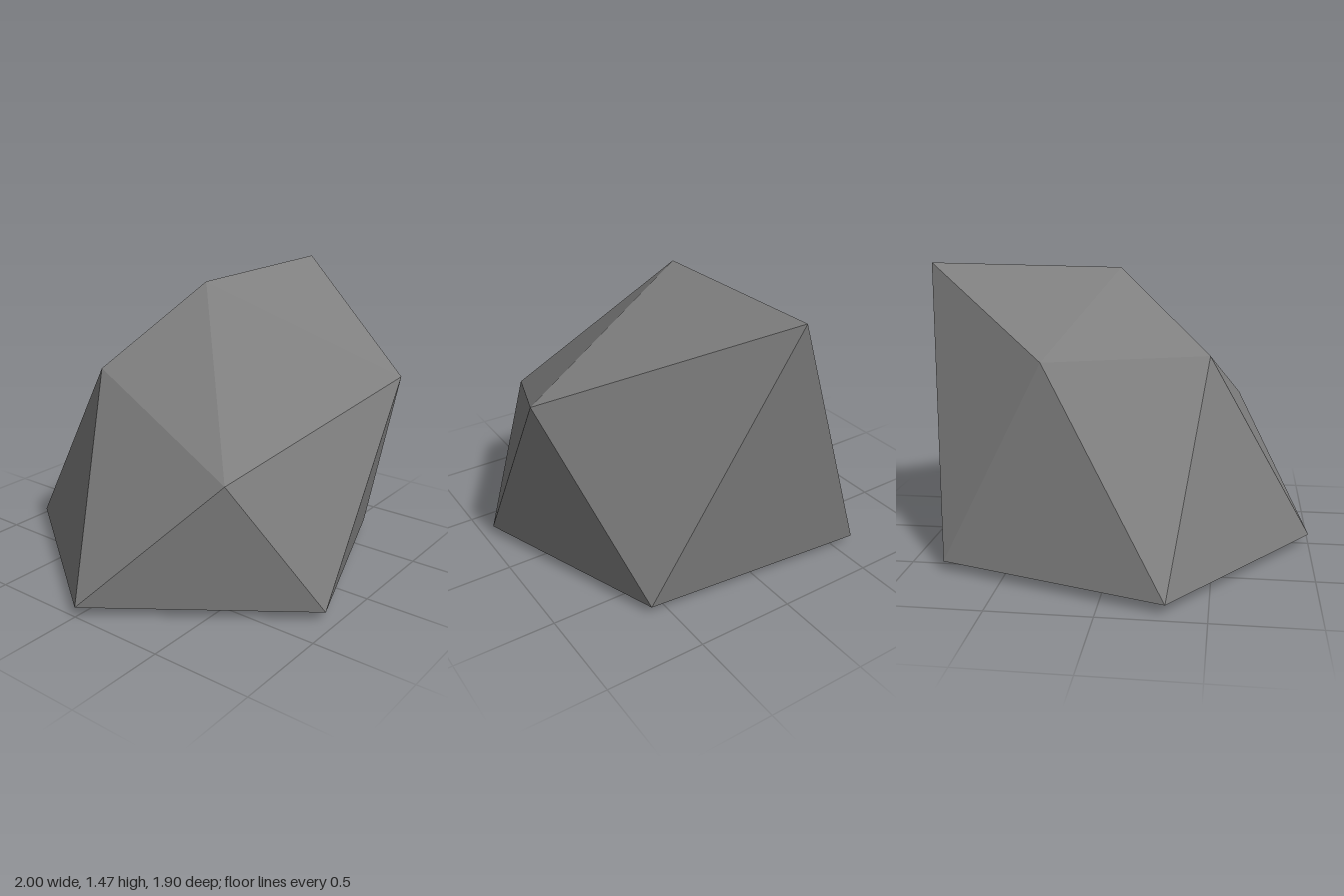
import * as THREE from 'three';

// Closed faceted solid: top point, two staggered rings of five, bottom point
export function createModel() {
  const top = [0, 1.45, 0];
  const bottom = [0, 0, 0];
  const upper = [
    [1, 1.465, 0], [0.31, 1.05, 0.95], [-0.62, 0.69, 0.59],
    [-0.47, 1.05, -0.29], [0.31, 1.05, -0.57],
  ];
  const lower = [
    [0.71, 0.05, 0.59], [-0.31, 0.05, 0.95], [-1, 0.05, 0],
    [-0.31, 0.05, -0.95], [0.81, 0.05, -0.59],
  ];

  const points = [];
  const face = (a, b, c) => points.push(...a, ...b, ...c);
  for (let i = 0; i < 5; i++) {
    const j = (i + 1) % 5;
    face(top, upper[j], upper[i]); // cap
    face(upper[i], upper[j], lower[i]); // side, pointing down
    face(upper[j], lower[j], lower[i]); // side, pointing up
    face(bottom, lower[i], lower[j]); // underside
  }

  const geometry = new THREE.BufferGeometry();
  geometry.setAttribute('position', new THREE.Float32BufferAttribute(points, 3));
  geometry.computeVertexNormals();

  const stone = new THREE.MeshStandardMaterial({ color: 0x808080, flatShading: true });
  stone.name = 'stoneGrey';

  const rock = new THREE.Mesh(geometry, stone);
  rock.name = 'rock';
  const group = new THREE.Group();
  group.name = 'boulder';
  group.add(rock);
  return group;
}
